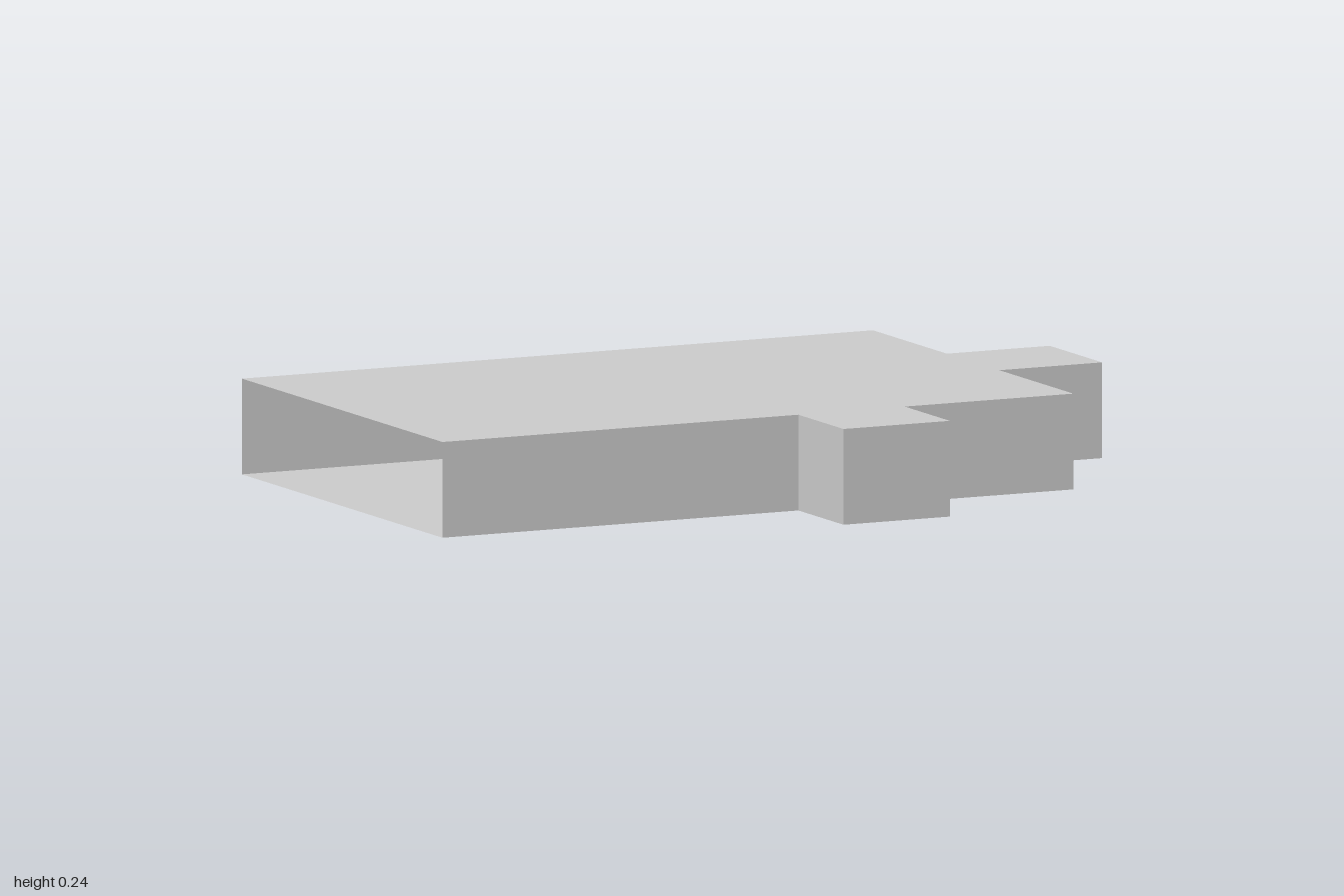
import * as THREE from 'three';

const HEIGHT = 0.237;

// Plan outline as [x, z], from the front corner of the open end round to its back corner
const OUTLINE = [
  [-1, 0.43], [-0.03, 0.43], [-0.03, 0.68], [0.26, 0.68], [0.26, 0.43], [0.72, 0.43],
  [0.72, 0.02], [1, 0.02], [1, -0.27], [0.72, -0.27], [0.72, -0.68], [-1, -0.68],
];

export function createModel() {
  const model = new THREE.Group();
  model.name = 'openEndedRoom';
  const material = new THREE.MeshStandardMaterial({
    color: 0xcccccc, side: THREE.DoubleSide, flatShading: true,
  });

  const add = (geometry, name, parent = model) => {
    const mesh = new THREE.Mesh(geometry, material);
    mesh.name = name;
    parent.add(mesh);
    return mesh;
  };

  // Horizontal sheet with the plan outline, facing up (1) or down (-1)
  const sheet = (facing) => {
    const points = OUTLINE.map(([x, z]) => new THREE.Vector2(x, -facing * z));
    return new THREE.ShapeGeometry(new THREE.Shape(points)).rotateX(-facing * Math.PI / 2);
  };
  add(sheet(-1), 'floor');
  add(sheet(1), 'ceiling').position.y = HEIGHT;

  // Thin walls along the outline; the end at -x stays open
  const walls = new THREE.Group();
  walls.name = 'walls';
  model.add(walls);
  for (let i = 0; i < OUTLINE.length - 1; i++) {
    const [x0, z0] = OUTLINE[i];
    const [x1, z1] = OUTLINE[i + 1];
    const length = Math.hypot(x1 - x0, z1 - z0);
    const wall = add(new THREE.PlaneGeometry(length, HEIGHT), `wall${i + 1}`, walls);
    wall.position.set((x0 + x1) / 2, HEIGHT / 2, (z0 + z1) / 2);
    wall.rotation.y = Math.atan2(z0 - z1, x1 - x0);
  }

  return model;
}
